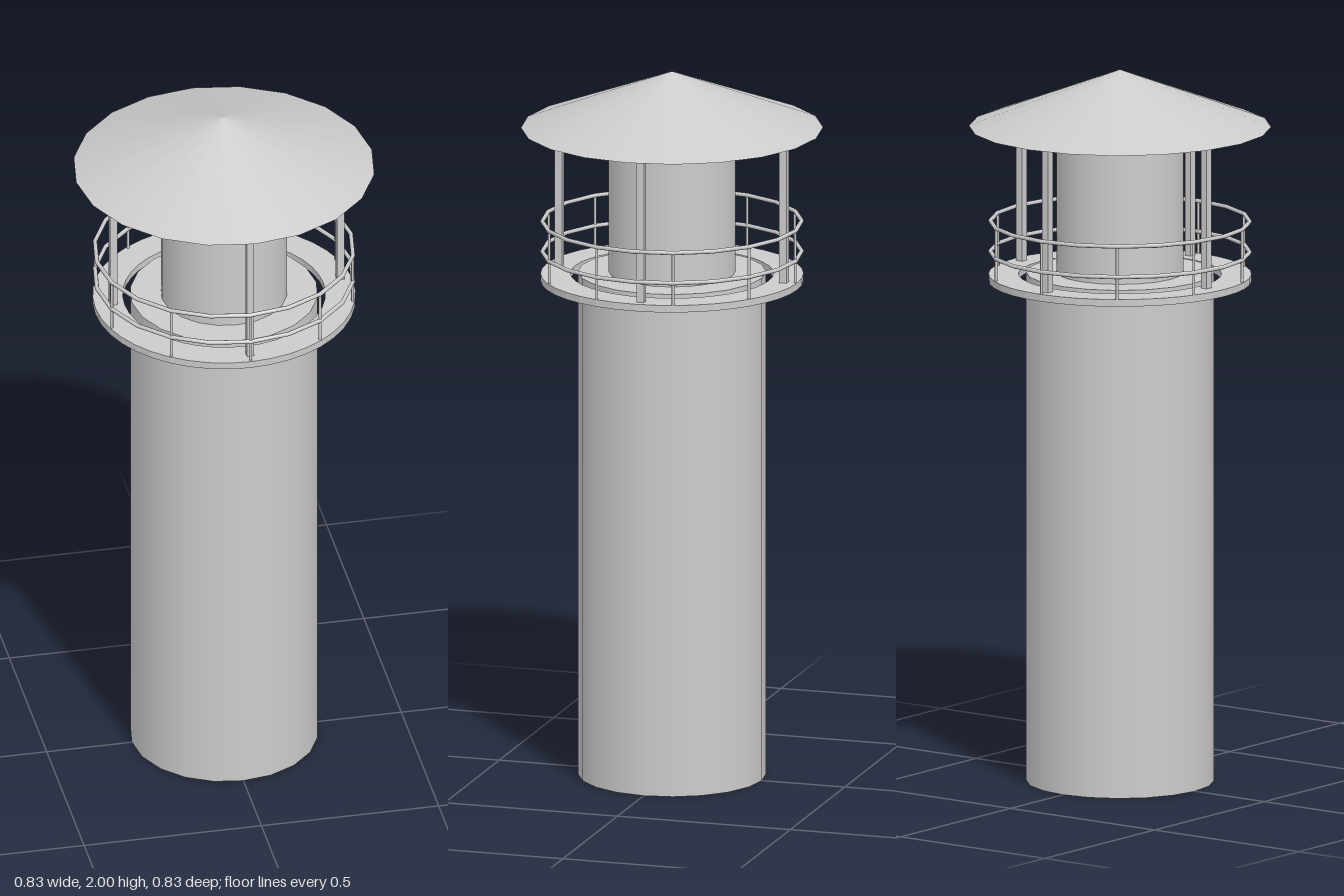
import * as THREE from 'three';

const SIDES = 20;

export function createModel() {
  const model = new THREE.Group();
  const grey = new THREE.MeshStandardMaterial({ color: 0xcccccc });

  const add = (name, geometry, x = 0, y = 0, z = 0, parent = model) => {
    const mesh = new THREE.Mesh(geometry, grey);
    mesh.name = name;
    mesh.position.set(x, y, z);
    parent.add(mesh);
    return mesh;
  };
  const drum = (name, radius, bottom, top) =>
    add(name, new THREE.CylinderGeometry(radius, radius, top - bottom, SIDES), 0, (bottom + top) / 2);

  // Main shaft, upper room and conical roof
  drum('tower', 0.26, 0, 1.43);
  drum('upperRoom', 0.175, 1.43, 1.84);
  add('roof', new THREE.ConeGeometry(0.417, 0.16, SIDES), 0, 1.92);

  // Ring-shaped walkway with a narrow gap around the shaft
  const ring = new THREE.Shape().absarc(0, 0, 0.363, 0, Math.PI * 2, false);
  ring.holes.push(new THREE.Path().absarc(0, 0, 0.28, 0, Math.PI * 2, true));
  const walkway = new THREE.ExtrudeGeometry(ring, { depth: 0.02, bevelEnabled: false, curveSegments: SIDES });
  add('walkway', walkway.rotateX(-Math.PI / 2), 0, 1.405, 0);

  // Two rails carried by ten balusters
  const railing = new THREE.Group();
  railing.name = 'railing';
  model.add(railing);
  for (const y of [1.487, 1.573]) {
    add('rail', new THREE.TorusGeometry(0.358, 0.006, 8, SIDES).rotateX(Math.PI / 2), 0, y, 0, railing);
  }
  const baluster = new THREE.CylinderGeometry(0.004, 0.004, 0.155, 8);
  for (let i = 0; i < 10; i++) {
    const a = (i / 10) * Math.PI * 2;
    add('baluster', baluster, 0.357 * Math.sin(a), 1.4975, 0.357 * Math.cos(a), railing);
  }

  // Four square posts holding up the roof edge
  const post = new THREE.BoxGeometry(0.02, 0.42, 0.022);
  for (const [x, z] of [[0.33, -0.015], [-0.31, -0.015], [0.004, 0.325], [0.004, -0.325]]) {
    add('roofPost', post, x, 1.633, z);
  }

  return model;
}
